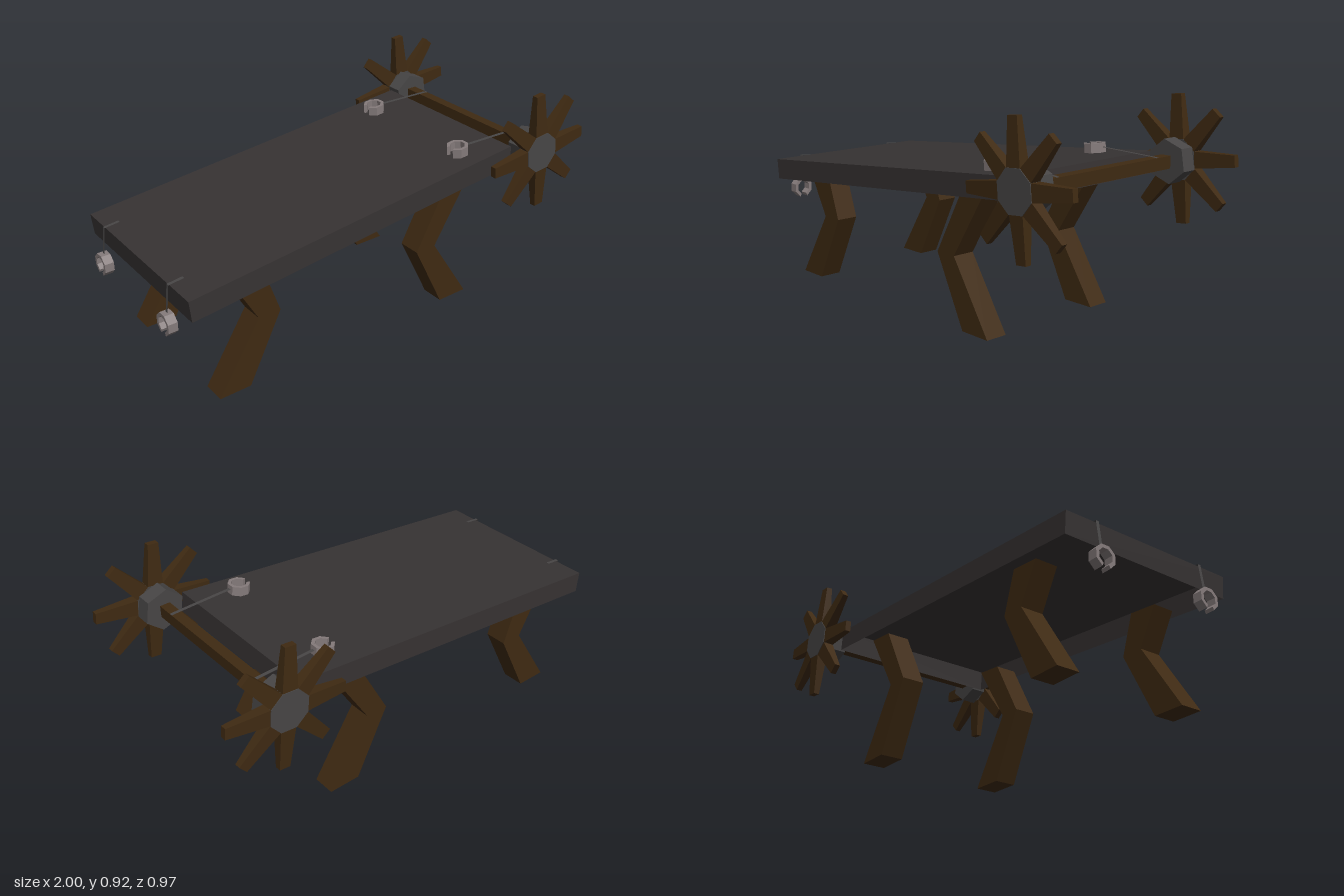
import * as THREE from 'three';

const mat = (color) => new THREE.MeshStandardMaterial({ color, flatShading: true, side: THREE.DoubleSide });
const wood = mat(0x3f2a12), slate = mat(0x373333), iron = mat(0x484646), steel = mat(0x857b7b);

const TILT = 0.097;

// Extruded polygon, centred on its depth along z
function prism(points, depth, material, name) {
  const shape = new THREE.Shape(points.map(([x, y]) => new THREE.Vector2(x, y)));
  const geo = new THREE.ExtrudeGeometry(shape, { depth, bevelEnabled: false });
  geo.translate(0, 0, -depth / 2);
  const mesh = new THREE.Mesh(geo, material);
  mesh.name = name;
  return mesh;
}

// count points on a circle, starting at an angle in degrees
function ring(radius, start, step, count) {
  return Array.from({ length: count }, (_, i) => {
    const a = THREE.MathUtils.degToRad(start + step * i);
    return [Math.cos(a) * radius, Math.sin(a) * radius];
  });
}

// Octagonal C-shaped cuff, open towards -y
function cuff(name) {
  const outline = [...ring(0.048, -67.5, 45, 8), ...ring(0.033, -67.5, 45, 8).reverse()];
  return prism(outline, 0.04, steel, name);
}

// Flat strip following points in the xy plane
function strap(points, width, z, name) {
  const geo = new THREE.PlaneGeometry(1, width, points.length - 1, 1);
  const pos = geo.attributes.position;
  for (let i = 0; i < pos.count; i++) {
    const [x, y] = points[i % points.length];
    pos.setXYZ(i, x, y, z - pos.getY(i));
  }
  geo.computeVertexNormals();
  const mesh = new THREE.Mesh(geo, iron);
  mesh.name = name;
  return mesh;
}

// Spoke pointing along +y, narrowing in both directions towards the tip
function spoke() {
  const geo = new THREE.BoxGeometry(0.072, 0.215, 0.05);
  geo.translate(0, 0.1575, 0);
  const pos = geo.attributes.position;
  for (let i = 0; i < pos.count; i++) {
    if (pos.getY(i) > 0.2) {
      pos.setX(i, pos.getX(i) * 0.66);
      pos.setZ(i, pos.getZ(i) * 0.5);
    }
  }
  geo.computeVertexNormals();
  const mesh = new THREE.Mesh(geo, wood);
  mesh.name = 'spoke';
  return mesh;
}

function createWheel(side) {
  const wheel = new THREE.Group();
  wheel.name = side > 0 ? 'frontWheel' : 'backWheel';
  for (let i = 0; i < 8; i++) {
    const s = spoke();
    s.position.z = side * 0.46;
    s.rotation.z = TILT + (i * Math.PI) / 4;
    wheel.add(s);
  }
  const block = prism(ring(0.092, 40, 60, 6), 0.075, iron, 'hubBlock');
  block.position.z = side * 0.405;
  const cap = prism(ring(0.09, 28, 45, 8), 0.05, iron, 'hubCap');
  cap.position.z = side * 0.461;
  wheel.add(block, cap);
  wheel.position.set(0.735, 0.657, 0);
  return wheel;
}

export function createModel() {
  const model = new THREE.Group();
  model.name = 'rackTable';

  // Tilted tabletop: a thin box shell, open underneath
  const table = new THREE.Group();
  table.name = 'table';
  table.position.set(-0.16, 0.561, 0);
  table.rotation.z = TILT;
  const box = new THREE.BoxGeometry(1.597, 0.093, 0.8);
  const index = Array.from(box.index.array);
  index.splice(18, 6); // drop the bottom face
  box.setIndex(index);
  const top = new THREE.Mesh(box, slate);
  top.name = 'tabletop';
  table.add(top);
  model.add(table);

  // Bent leg profiles
  const rearLeg = [[-0.83, 0], [-0.69, 0], [-0.54, 0.3], [-0.6, 0.473], [-0.73, 0.46], [-0.64, 0.3]];
  const foreLeg = [[0.31, 0], [0.455, 0], [0.26, 0.3], [0.43, 0.573], [0.3, 0.56], [0.16, 0.3]];

  for (const side of [1, -1]) {
    for (const [profile, name] of [[rearLeg, 'lowEndLeg'], [foreLeg, 'highEndLeg']]) {
      const leg = prism(profile, 0.1, wood, name);
      leg.position.z = side * 0.3;
      model.add(leg);
    }
    model.add(createWheel(side));

    // Cuff lying on the table, strapped to the axle
    const upper = cuff('upperCuff');
    upper.rotation.set(-Math.PI / 2, 0, -Math.PI / 2);
    upper.position.set(0.598, 0.067, side * 0.283);
    table.add(upper);
    model.add(strap([[0.47, 0.693], [0.735, 0.686], [0.755, 0.684]], 0.016, side * 0.283, 'upperStrap'));

    // Cuff hanging off the low end
    const lower = cuff('lowerCuff');
    lower.rotation.y = Math.PI / 2;
    lower.position.set(-0.98, 0.374, side * 0.26);
    model.add(lower);
    model.add(strap([[-0.98, 0.41], [-0.966, 0.534], [-0.9, 0.541]], 0.014, side * 0.26, 'lowerStrap'));
  }

  // Square axle between the wheels
  const axle = new THREE.Mesh(new THREE.BoxGeometry(0.045, 0.052, 0.76), wood);
  axle.name = 'axle';
  axle.position.set(0.732, 0.657, 0);
  model.add(axle);

  return model;
}
